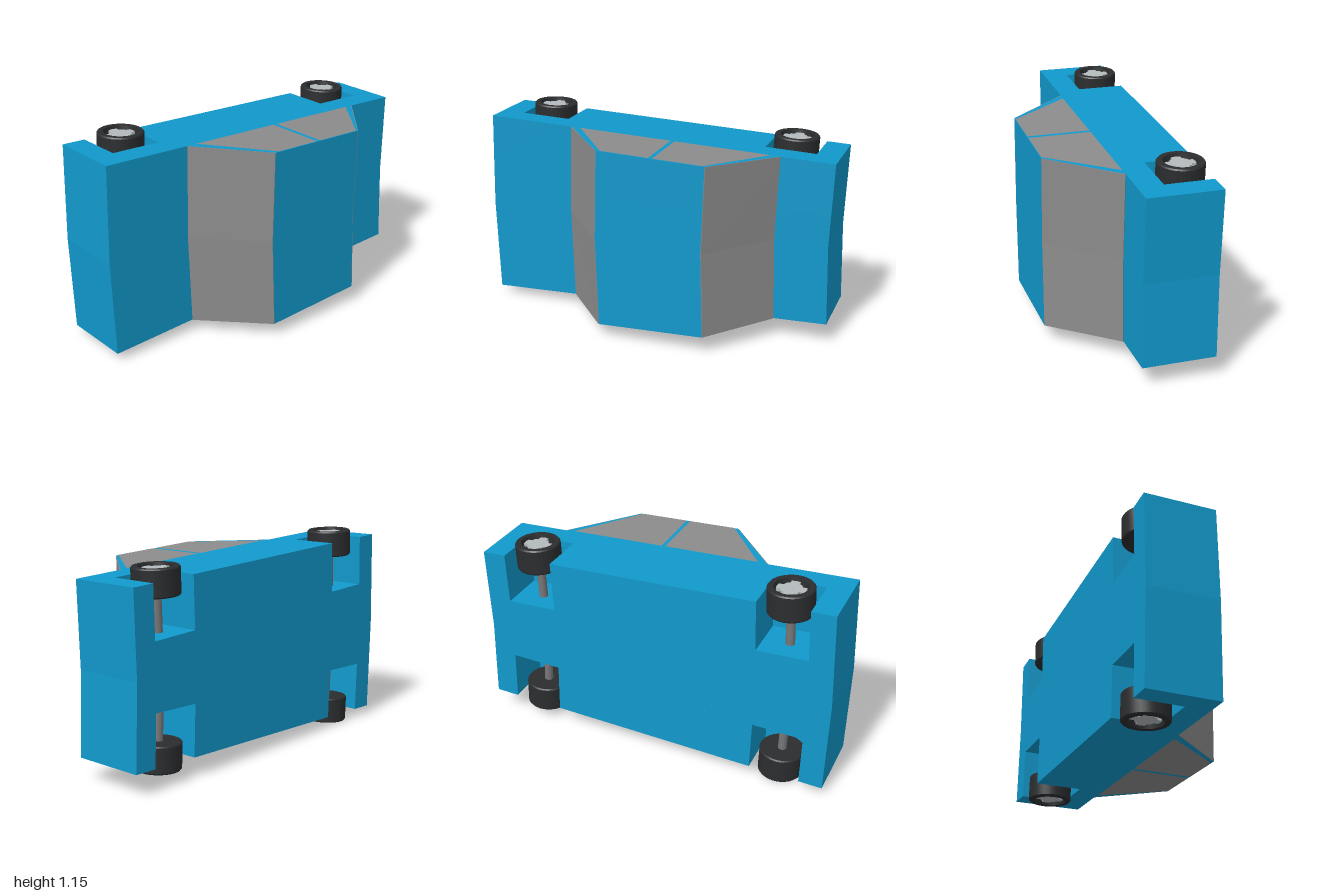
import * as THREE from 'three';
import { toCreasedNormals } from 'three/addons/utils/BufferGeometryUtils.js';

const mat = (color) => new THREE.MeshStandardMaterial({ color });
const blue = mat(0x1199cc), glass = mat(0x8c8c8c), rubber = mat(0x2b2d2f), rim = mat(0xb4babd), steel = mat(0x777777);

const MID = 0.577, TAPER = 0.0379, BEND = 0.015;
const BOTTOM = -0.37, DECK = 0.025, ROOF = 0.37;
const WELL_TOP = -0.11, WELL_DEPTH = 0.28;
const WELLS = [[-0.855, -0.575], [0.585, 0.865]];
const halfWidth = (s) => 0.5275 - TAPER * (s + 0.985);

const shape = (pts) => new THREE.Shape(pts.map(([x, y]) => new THREE.Vector2(x, y)));

// Maps (length, height, distance from the flank) onto the tapered, bent car half.
// Distance -1 is the centre line, 0 the flank. Triangles on the dropped level are left out.
function fold(source, side, drop = null) {
  const g = source.index ? source.toNonIndexed() : source;
  const p = g.attributes.position, out = [];
  for (let i = 0; i < p.count; i += 3) {
    const order = side > 0 ? [i, i + 2, i + 1] : [i, i + 1, i + 2];
    if (drop !== null && order.every((k) => Math.abs(p.getZ(k) - drop) < 1e-4)) continue;
    for (const k of order) {
      const s = p.getX(k), w = p.getZ(k), h = halfWidth(s);
      const off = w < -0.999 ? 0 : h + w;
      out.push(s - BEND * (1 - off / h), MID + side * off, p.getY(k));
    }
  }
  const folded = new THREE.BufferGeometry();
  folded.setAttribute('position', new THREE.Float32BufferAttribute(out, 3));
  folded.computeVertexNormals();
  return folded;
}

const slab = (pts, from, to) =>
  new THREE.ExtrudeGeometry(shape(pts), { depth: to - from, bevelEnabled: false }).translate(0, 0, from);
const sheet = (pts, w) => new THREE.ShapeGeometry(shape(pts)).translate(0, 0, w);

// One wheel: +y points outward, origin at the centre of the outer face
function makeWheel() {
  const wheel = new THREE.Group();
  const add = (name, geo, material, y = 0) => {
    const m = new THREE.Mesh(geo, material);
    m.name = name;
    m.position.y = y;
    wheel.add(m);
  };
  const profile = [[0, -0.145], [0.117, -0.145], [0.1225, -0.138], [0.1225, -0.007], [0.117, 0],
    [0.09, 0], [0.085, -0.03], [0, -0.03]].map(([x, y]) => new THREE.Vector2(x, y));
  add('tyre', toCreasedNormals(new THREE.LatheGeometry(profile, 32), 0.6), rubber);

  // Four-armed hub cap
  const cross = [];
  for (let i = 0; i < 4; i++) {
    const a = i * Math.PI / 2, c = Math.cos(a), s = Math.sin(a);
    for (const [x, y] of [[0.05, -0.024], [0.073, -0.024], [0.077, 0], [0.073, 0.024], [0.05, 0.024], [0.042, 0.042]])
      cross.push([x * c - y * s, x * s + y * c]);
  }
  const hub = new THREE.ExtrudeGeometry(shape(cross), { depth: 0.02, bevelEnabled: false });
  add('hubCap', hub.rotateX(-Math.PI / 2), rim, -0.032);
  add('axle', new THREE.CylinderGeometry(0.024, 0.024, 0.2, 16), steel, -0.24);
  return wheel;
}

export function createModel() {
  const car = new THREE.Group();
  car.name = 'car';
  const add = (name, geo, material) => {
    const m = new THREE.Mesh(geo, material);
    m.name = name;
    car.add(m);
  };

  // Side outline, counter-clockwise from the lower front corner
  const upper = [[0.995, BOTTOM], [0.995, DECK], [0.7, DECK], [0.4, ROOF], [-0.195, ROOF],
    [-0.49, DECK], [-0.985, DECK], [-0.985, BOTTOM]];
  const notches = WELLS.flatMap(([a, b]) => [[a, BOTTOM], [a, WELL_TOP], [b, WELL_TOP], [b, BOTTOM]]);

  // Windscreens as thin skins on the sloping cabin ends
  const t = 0.003;
  const screens = {
    frontScreen: [[0.7, DECK], [0.7 + t, DECK + t], [0.4 + t, ROOF], [0.4, ROOF]],
    rearScreen: [[-0.49, DECK], [-0.195, ROOF], [-0.195 - t, ROOF], [-0.49 - t, DECK + t]],
  };
  const sideWindows = {
    rearSideWindow: [[-0.437, 0.028], [0.095, 0.028], [0.095, 0.368], [-0.172, 0.368]],
    frontSideWindow: [[0.118, 0.028], [0.653, 0.028], [0.388, 0.368], [0.118, 0.368]],
  };

  for (const side of [1, -1]) {
    // Solid core, and flank with the wheel wells cut out
    const core = slab(upper, -1, -WELL_DEPTH);
    add('bodyCore', fold(core, side, -1), blue);
    add('bodyFlank', fold(slab([...upper, ...notches], -WELL_DEPTH, 0), side, -WELL_DEPTH), blue);

    for (const [name, pts] of Object.entries(screens)) add(name, fold(slab(pts, -1, 0), side, -1), glass);
    for (const [name, pts] of Object.entries(sideWindows)) add(name, fold(sheet(pts, 0.002), side), glass);

    // Wheels follow the slant of the flanks
    for (const [name, s] of [['rearWheel', -0.713], ['frontWheel', 0.725]]) {
      const wheel = makeWheel();
      wheel.name = name;
      wheel.position.set(s, MID + side * (halfWidth(s) + 0.053), -0.2475);
      wheel.rotation.z = side > 0 ? -TAPER : Math.PI + TAPER;
      car.add(wheel);
    }
  }
  return car;
}
